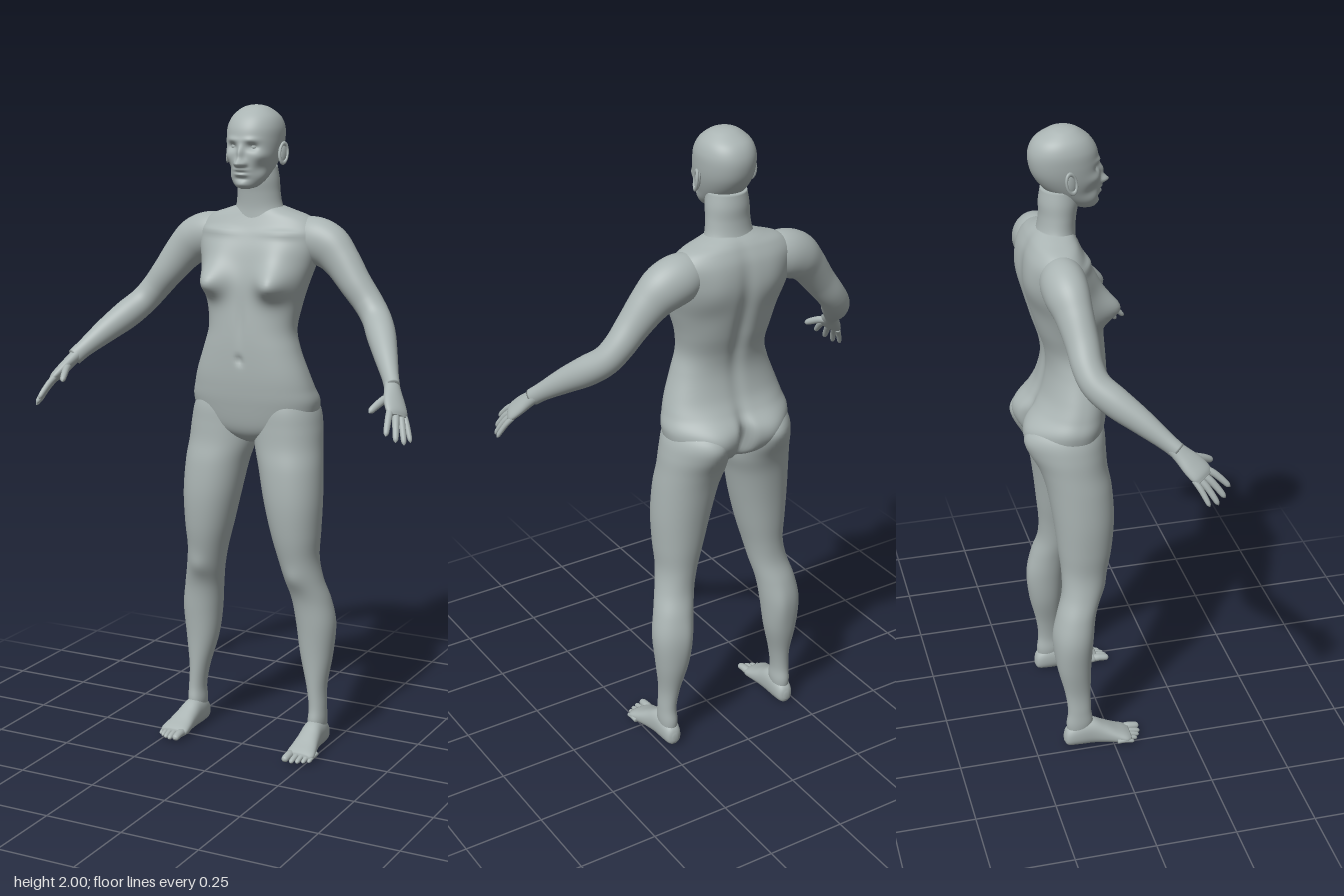
import * as THREE from 'three';

const V = (x, y, z) => new THREE.Vector3(x, y, z);
const UP = V(0, 1, 0), X = V(1, 0, 0);

// Soft sculpting pushes: [centre xyz], [falloff xyz], [push xyz]; off-centre ones are mirrored
const BODY_FORMS = [
  [[0.1, 1.48, -0.01], [0.052, 0.05, 0.12], [0.008, -0.008, 0.062]],   // breasts
  [[0.1, 1.56, -0.03], [0.06, 0.06, 0.1], [0, 0, 0.012]],              // upper chest
  [[0.1, 1.07, -0.22], [0.08, 0.075, 0.09], [0, 0, -0.038]],           // buttocks
  [[0, 1.05, -0.22], [0.02, 0.075, 0.08], [0, 0, 0.04]],               // cleft
  [[0, 1.4, -0.2], [0.025, 0.2, 0.06], [0, 0, 0.014]],                 // spine groove
  [[0.09, 1.57, -0.21], [0.06, 0.08, 0.05], [0, 0, -0.008]],           // shoulder blades
  [[0, 1.24, 0.02], [0.012, 0.012, 0.04], [0, 0, -0.01]],              // navel
  [[0, 1.36, 0.02], [0.015, 0.08, 0.05], [0, 0, -0.005]],              // midline
  [[0.11, 1.62, -0.05], [0.07, 0.012, 0.05], [0, 0.004, 0.007]],       // collar bones
];
const LEG_FORMS = [
  BODY_FORMS[2],
  [[0.165, 0.56, -0.02], [0.035, 0.035, 0.05], [0, 0, 0.008]],         // kneecap
  [[0.18, 0.4, -0.17], [0.03, 0.08, 0.05], [-0.004, 0, -0.006]],       // calf
];
const FACE_FORMS = [
  [[0, 1.832, 0.015], [0.014, 0.012, 0.06], [0, -0.002, 0.027]],       // nose tip
  [[0, 1.86, 0.01], [0.009, 0.022, 0.06], [0, 0, 0.013]],              // nose bridge
  [[0.014, 1.83, 0.01], [0.007, 0.007, 0.04], [0.002, 0, 0.007]],      // nostrils
  [[0.032, 1.879, 0], [0.017, 0.011, 0.05], [0, 0, -0.013]],           // eye sockets
  [[0.03, 1.9, 0], [0.022, 0.008, 0.05], [0, 0, 0.005]],               // brows
  [[0.05, 1.853, -0.01], [0.02, 0.016, 0.04], [0.004, 0, 0.004]],      // cheekbones
  [[0.052, 1.815, -0.02], [0.018, 0.018, 0.04], [-0.004, 0, -0.004]],  // cheek hollows
  [[0, 1.812, 0.01], [0.02, 0.005, 0.05], [0, 0, 0.009]],              // upper lip
  [[0, 1.798, 0.01], [0.018, 0.005, 0.05], [0, 0, 0.01]],              // lower lip
  [[0, 1.785, 0.01], [0.02, 0.005, 0.05], [0, 0, -0.004]],             // chin crease
  [[0, 1.768, 0.005], [0.02, 0.01, 0.05], [0, 0, 0.007]],              // chin
];

function sculpt(geo, forms) {
  const pos = geo.attributes.position;
  for (const [c, r, d] of forms) {
    for (const s of c[0] === 0 ? [1] : [1, -1]) {
      for (let i = 0; i < pos.count; i++) {
        const x = pos.getX(i), y = pos.getY(i), z = pos.getZ(i);
        const k = Math.exp(-(((x - s * c[0]) / r[0]) ** 2) - ((y - c[1]) / r[1]) ** 2 - ((z - c[2]) / r[2]) ** 2);
        pos.setXYZ(i, x + s * d[0] * k, y + d[1] * k, z + d[2] * k);
      }
    }
  }
  geo.computeVertexNormals();
  return geo;
}

// Smooth closed skin through sections [x, y, z, half width, half depth]
function loft(sections, { side = X, axis = null, segs = 32, rows = 32, power = 2 } = {}) {
  const path = new THREE.CatmullRomCurve3(sections.map(s => V(s[0], s[1], s[2])), false, 'catmullrom');
  const size = new THREE.CatmullRomCurve3(sections.map(s => V(s[3], s[4], 0)), false, 'catmullrom');
  const pts = [], idx = [];
  const bend = v => Math.sign(v) * Math.abs(v) ** (2 / power);
  for (let i = 0; i <= rows; i++) {
    const p = path.getPoint(i / rows), r = size.getPoint(i / rows);
    const t = axis || path.getTangent(i / rows);
    const u = side.clone().addScaledVector(t, -side.dot(t)).normalize();
    const v = t.clone().cross(u);
    for (let j = 0; j < segs; j++) {
      const a = (j / segs) * Math.PI * 2;
      const q = p.clone().addScaledVector(u, bend(Math.cos(a)) * Math.max(r.x, 0.001))
        .addScaledVector(v, bend(Math.sin(a)) * Math.max(r.y, 0.001));
      pts.push(q.x, q.y, q.z);
      if (i < rows) {
        const k = i * segs + j, n = i * segs + (j + 1) % segs;
        idx.push(k, n, k + segs, n, n + segs, k + segs);
      }
    }
  }
  const first = path.getPoint(0), last = path.getPoint(1), c = pts.length / 3, top = rows * segs;
  pts.push(first.x, first.y, first.z, last.x, last.y, last.z);
  for (let j = 0; j < segs; j++) {
    const n = (j + 1) % segs;
    idx.push(c, n, j, c + 1, top + j, top + n);
  }
  const geo = new THREE.BufferGeometry();
  geo.setAttribute('position', new THREE.Float32BufferAttribute(pts, 3));
  geo.setIndex(idx);
  geo.computeVertexNormals();
  return geo;
}

// Level sections from [y, outer x, inner x, front z, back z]
const level = (rows, s = 1) => rows.map(([y, o, i, f, b]) =>
  [s * (o + i) / 2, y, (f + b) / 2, (o - i) / 2, (f - b) / 2]);
const centred = rows => level(rows.map(([y, w, f, b]) => [y, w, -w, f, b]));

// Tapered finger or toe with a rounded tip
function digit(a, b, r, arch, side) {
  const at = (t, k) => {
    const p = V(...a).lerp(V(...b), t);
    return [p.x, p.y + arch * Math.sin(Math.PI * t), p.z, r * k, r * k * 0.92];
  };
  return loft([at(0, 1), at(0.3, 1), at(0.5, 0.95), at(0.75, 0.88), at(0.92, 0.7), at(1, 0.12)],
    { side, segs: 14, rows: 20 });
}

export function createModel() {
  const model = new THREE.Group();
  model.name = 'figure';
  const skin = new THREE.MeshStandardMaterial({ color: 0xaab4b3 });
  skin.name = 'grey clay';
  const add = (name, geo, parent = model) => {
    const m = new THREE.Mesh(geo, skin);
    m.name = name;
    parent.add(m);
    return m;
  };

  // Trunk
  add('torso', sculpt(loft(centred([
    [0.975, 0.03, -0.05, -0.12], [0.995, 0.1, -0.02, -0.17], [1.03, 0.18, 0.0, -0.2],
    [1.1, 0.206, 0.014, -0.212], [1.15, 0.196, 0.02, -0.19], [1.2, 0.181, 0.023, -0.172],
    [1.27, 0.156, 0.023, -0.16], [1.33, 0.141, 0.02, -0.166], [1.4, 0.15, 0.013, -0.188],
    [1.47, 0.168, 0.003, -0.208], [1.53, 0.186, -0.01, -0.22], [1.58, 0.197, -0.024, -0.222],
    [1.63, 0.198, -0.045, -0.216], [1.665, 0.165, -0.06, -0.202], [1.685, 0.11, -0.068, -0.188],
    [1.7, 0.065, -0.075, -0.17],
  ]), { axis: UP, segs: 192, rows: 110, power: 2.3 }), BODY_FORMS));
  add('neck', loft(centred([
    [1.63, 0.12, -0.055, -0.2], [1.67, 0.09, -0.06, -0.184], [1.7, 0.074, -0.061, -0.172],
    [1.74, 0.068, -0.057, -0.166], [1.78, 0.066, -0.05, -0.166], [1.82, 0.06, -0.05, -0.16],
  ]), { axis: UP, segs: 48 }));

  // Head
  add('head', sculpt(loft(centred([
    [1.754, 0.012, -0.008, -0.04], [1.762, 0.034, 0.001, -0.065], [1.785, 0.053, 0.008, -0.105],
    [1.82, 0.067, 0.012, -0.152], [1.86, 0.078, 0.012, -0.182], [1.9, 0.083, 0.009, -0.194],
    [1.935, 0.082, 0.002, -0.192], [1.965, 0.07, -0.017, -0.175], [1.988, 0.045, -0.047, -0.14],
    [1.997, 0.023, -0.07, -0.117], [2.0, 0.003, -0.09, -0.097],
  ]), { axis: UP, segs: 128, rows: 110, power: 2.1 }), FACE_FORMS));

  for (const s of [1, -1]) {
    const label = s > 0 ? 'left' : 'right';
    const mir = list => list.map(([x, ...rest]) => [s * x, ...rest]);
    const part = name => {
      const g = new THREE.Group();
      g.name = label + name;
      model.add(g);
      return g;
    };

    add(label + 'Eye', new THREE.SphereGeometry(0.012, 20, 14)).position.set(s * 0.031, 1.879, -0.017);
    const ear = part('Ear');
    ear.position.set(s * 0.088, 1.858, -0.092);
    ear.rotation.set(-0.2, s * -0.35, 0);
    add('earShell', new THREE.SphereGeometry(1, 20, 14), ear).scale.set(0.008, 0.03, 0.017);
    const rim = add('earRim', new THREE.TorusGeometry(0.017, 0.004, 10, 28), ear);
    rim.rotation.y = Math.PI / 2;
    rim.scale.set(0.95, 1.7, 1.1);
    rim.position.x = s * 0.005;

    // Arm from inside the shoulder to the wrist
    add(label + 'Arm', loft(mir([
      [0.11, 1.605, -0.138, 0.05, 0.055], [0.17, 1.6, -0.138, 0.064, 0.071], [0.225, 1.58, -0.136, 0.062, 0.071],
      [0.27, 1.54, -0.128, 0.053, 0.06], [0.32, 1.478, -0.118, 0.048, 0.05], [0.365, 1.423, -0.113, 0.045, 0.045],
      [0.4, 1.38, -0.095, 0.044, 0.044], [0.435, 1.34, -0.05, 0.043, 0.045], [0.475, 1.295, 0.01, 0.035, 0.038],
      [0.515, 1.247, 0.07, 0.025, 0.028], [0.536, 1.22, 0.102, 0.022, 0.026],
    ]), { side: V(s * 0.35, 0.2, -1), segs: 48, rows: 70 }));

    // Hand
    const hand = part('Hand'), across = V(s * 0.6, -0.4, -0.75);
    add('palm', loft(mir([
      [0.528, 1.232, 0.088, 0.022, 0.02], [0.542, 1.21, 0.112, 0.028, 0.019], [0.558, 1.185, 0.137, 0.036, 0.018],
      [0.574, 1.162, 0.158, 0.037, 0.015], [0.582, 1.15, 0.168, 0.03, 0.008],
    ]), { side: across, segs: 32 }), hand);
    [
      [[0.545, 1.2, 0.12], [0.512, 1.163, 0.212], 0.0125, 0.006],
      [[0.56, 1.17, 0.172], [0.578, 1.108, 0.244], 0.0105, 0.006],
      [[0.573, 1.16, 0.162], [0.6, 1.088, 0.224], 0.0108, 0.006],
      [[0.583, 1.153, 0.15], [0.616, 1.077, 0.2], 0.0102, 0.006],
      [[0.588, 1.15, 0.136], [0.624, 1.08, 0.172], 0.009, 0.005],
    ].forEach(([a, b, r, h], i) =>
      add(i ? 'finger' + i : 'thumb', digit(mir([a])[0], mir([b])[0], r, h, across), hand));

    // Leg
    add(label + 'Leg', sculpt(loft(level([
      [0.03, 0.235, 0.195, -0.085, -0.14], [0.08, 0.243, 0.187, -0.063, -0.147], [0.13, 0.242, 0.189, -0.068, -0.142],
      [0.2, 0.241, 0.178, -0.068, -0.15], [0.3, 0.255, 0.152, -0.065, -0.172], [0.4, 0.264, 0.138, -0.057, -0.178],
      [0.48, 0.252, 0.127, -0.047, -0.166], [0.55, 0.233, 0.112, -0.024, -0.148], [0.62, 0.222, 0.096, -0.004, -0.146],
      [0.7, 0.227, 0.074, 0.012, -0.154], [0.8, 0.231, 0.05, 0.021, -0.165], [0.9, 0.227, 0.028, 0.017, -0.18],
      [0.97, 0.22, 0.008, 0.006, -0.195], [1.03, 0.214, 0.006, 0.002, -0.205], [1.09, 0.2, 0.015, -0.002, -0.2],
      [1.16, 0.16, 0.04, -0.02, -0.15],
    ], s), { axis: UP, segs: 72, rows: 90, power: 2.1 }), LEG_FORMS));

    // Foot
    const foot = part('Foot');
    add('sole', loft(mir([
      [0.215, 0.03, -0.156, 0.008, 0.012], [0.215, 0.034, -0.145, 0.024, 0.031], [0.215, 0.044, -0.11, 0.031, 0.044],
      [0.216, 0.045, -0.065, 0.033, 0.045], [0.219, 0.035, -0.025, 0.037, 0.035], [0.222, 0.025, 0.012, 0.043, 0.025],
      [0.224, 0.019, 0.04, 0.046, 0.018], [0.224, 0.016, 0.056, 0.038, 0.012],
    ]), { axis: V(0, 0, 1), segs: 40, power: 2.3 }), foot);
    [[0.193, 0.096, 0.0135], [0.215, 0.094, 0.0095], [0.232, 0.087, 0.009], [0.248, 0.077, 0.0085], [0.262, 0.064, 0.008]]
      .forEach(([x, z, r], i) =>
        add('toe' + (i + 1), digit([s * (x + 0.002), 0.018, z - 0.055], [s * x, r, z], r, 0.003, X), foot));
  }
  return model;
}
